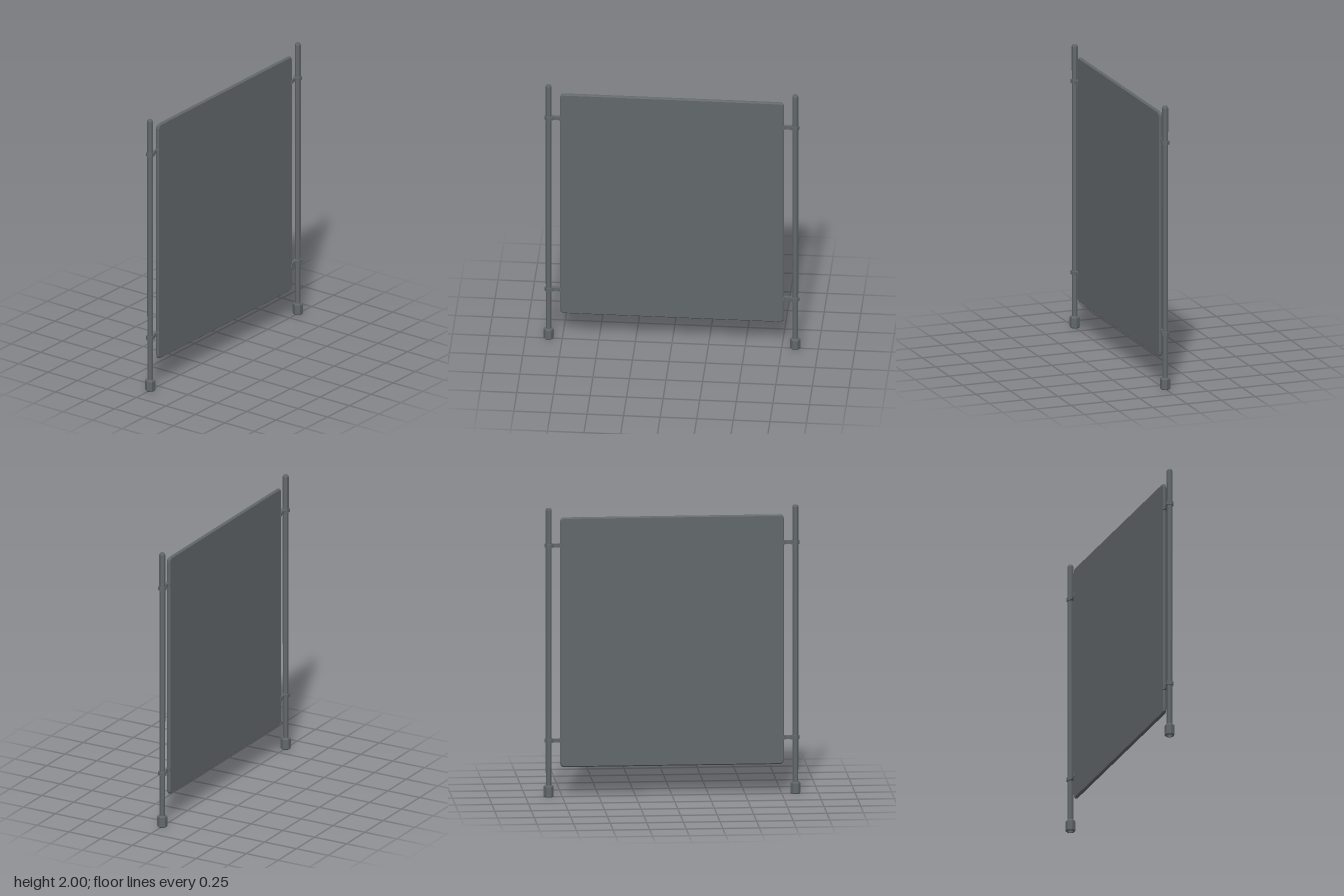
import * as THREE from 'three';

const grey = new THREE.MeshStandardMaterial({ color: 0x62686b });
const POST_Z = 0.843;

// Six-sided turned part with hard facets
function hexLathe(profile) {
  const points = profile.map(([r, y]) => new THREE.Vector2(r, y));
  const geometry = new THREE.LatheGeometry(points, 6).toNonIndexed();
  geometry.computeVertexNormals();
  return geometry;
}

function addMesh(parent, name, geometry) {
  const mesh = new THREE.Mesh(geometry, grey);
  mesh.name = name;
  parent.add(mesh);
  return mesh;
}

// Rounded sheet with a bevelled rim, lying in the yz plane
function panelGeometry() {
  const b = 0.008, w = 0.765 - b, y0 = 0.205 + b, y1 = 1.935 - b, r = 0.024;
  const s = new THREE.Shape();
  s.moveTo(-w + r, y0);
  s.lineTo(w - r, y0);
  s.quadraticCurveTo(w, y0, w, y0 + r);
  s.lineTo(w, y1 - r);
  s.quadraticCurveTo(w, y1, w - r, y1);
  s.lineTo(-w + r, y1);
  s.quadraticCurveTo(-w, y1, -w, y1 - r);
  s.lineTo(-w, y0 + r);
  s.quadraticCurveTo(-w, y0, -w + r, y0);
  const depth = 0.01;
  const geometry = new THREE.ExtrudeGeometry(s, {
    depth, bevelEnabled: true, bevelSize: b, bevelThickness: b, bevelSegments: 1, curveSegments: 3,
  });
  return geometry.translate(0, 0, -depth / 2).rotateY(Math.PI / 2);
}

// Collar round the post, narrow neck and a small jaw gripping the panel edge
function clampGeometry() {
  const half = [
    [0, 0.872], [0.024, 0.857], [0.024, 0.829], [0.008, 0.806],
    [0.008, 0.778], [0.016, 0.766], [0.016, 0.752], [0.011, 0.745],
  ];
  const mirrored = half.slice(1).reverse().map(([x, z]) => [-x, z]);
  const outline = [...half, ...mirrored].map(([x, z]) => new THREE.Vector2(x, -z));
  const height = 0.026;
  const geometry = new THREE.ExtrudeGeometry(new THREE.Shape(outline), { depth: height, bevelEnabled: false });
  return geometry.translate(0, 0, -height / 2).rotateX(-Math.PI / 2);
}

export function createModel() {
  const model = new THREE.Group();
  model.name = 'panelScreen';
  addMesh(model, 'panel', panelGeometry());

  const post = hexLathe([[0.0195, 0.03], [0.021, 1.988], [0.015, 2], [0, 2]]);
  // Foot with a recessed underside
  const foot = hexLathe([
    [0, 0.03], [0.022, 0.03], [0.022, 0], [0.031, 0], [0.035, 0.006],
    [0.035, 0.072], [0.029, 0.082], [0, 0.082],
  ]);
  const clamp = clampGeometry();

  // Matching post assembly at each end
  for (const side of [1, -1]) {
    const end = new THREE.Group();
    end.name = side > 0 ? 'frontPost' : 'backPost';
    if (side < 0) end.rotation.y = Math.PI;
    addMesh(end, 'post', post).position.z = POST_Z;
    addMesh(end, 'foot', foot).position.z = POST_Z;
    addMesh(end, 'upperClamp', clamp).position.y = 1.742;
    addMesh(end, 'lowerClamp', clamp).position.y = 0.39;
    model.add(end);
  }
  return model;
}
